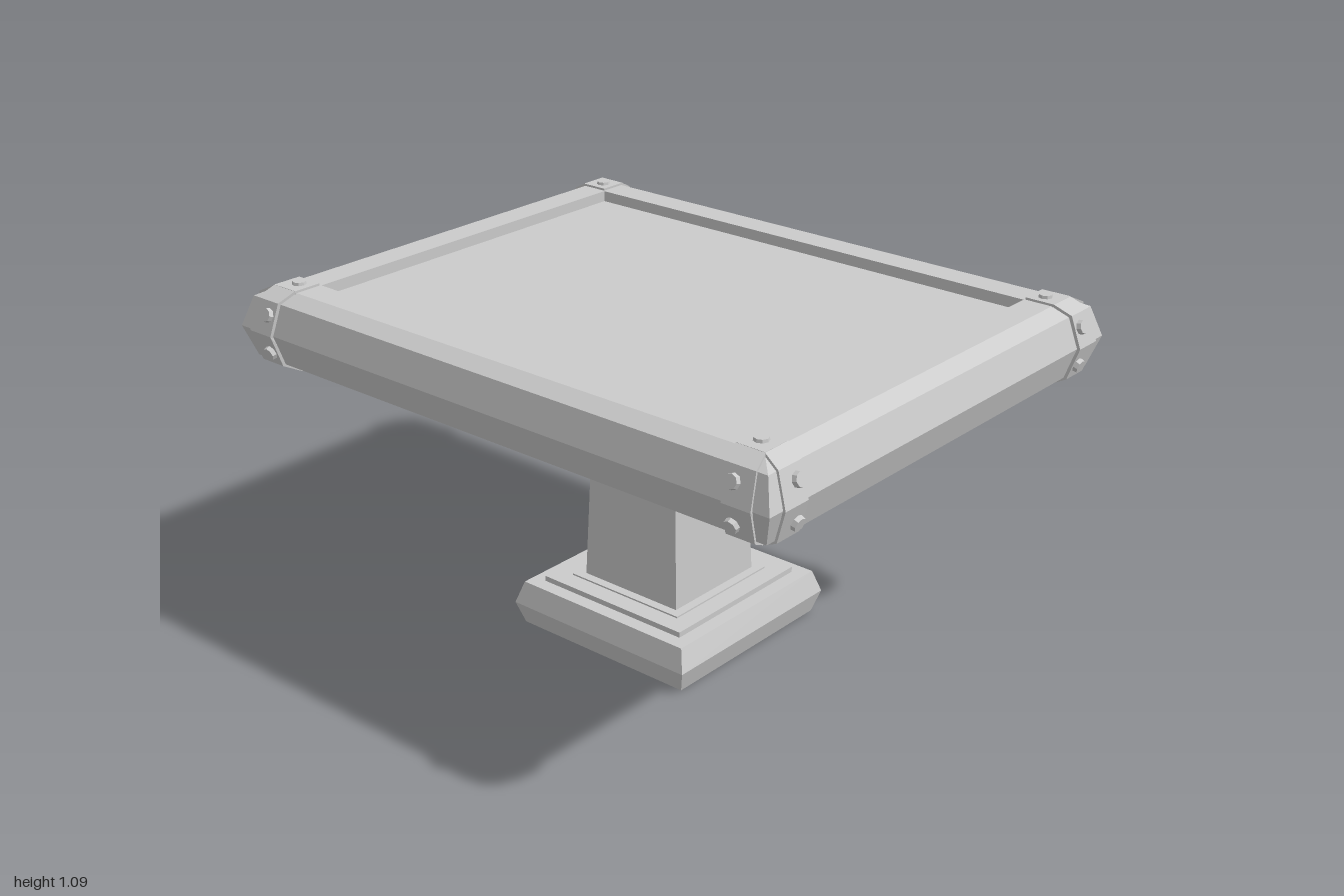
import * as THREE from 'three';

const HX = 0.785, HZ = 0.982; // half size of the table top
const MID = 0.953;            // height of the frame's outer ridge

export function createModel() {
  const root = new THREE.Group();
  const mat = new THREE.MeshStandardMaterial({ color: 0xcccccc, flatShading: true });
  const add = (name, geo, parent = root) => {
    const m = new THREE.Mesh(geo, mat);
    m.name = name;
    parent.add(m);
    return m;
  };

  // Square frustum between two heights
  const frustum = (name, y0, half0, y1, half1) => {
    const g = new THREE.CylinderGeometry(half1 * Math.SQRT2, half0 * Math.SQRT2, y1 - y0, 4);
    g.rotateY(Math.PI / 4).translate(0, (y0 + y1) / 2, 0);
    return add(name, g);
  };

  // Pedestal
  frustum('baseLower', 0, 0.315, 0.07, 0.337);
  frustum('baseUpper', 0.07, 0.337, 0.14, 0.315);
  frustum('baseStep', 0.14, 0.27, 0.157, 0.27);
  frustum('baseTrim', 0.157, 0.21, 0.162, 0.21);
  frustum('column', 0.157, 0.181, 0.88, 0.154);

  // Recessed table panel
  add('panel', new THREE.BoxGeometry(1.25, 0.165, 1.65).translate(0, MID, 0));

  // Mitred frame: rectangular loops at each (inset, height) of the profile
  const profile = [[0, MID], [0.03, 1.045], [0.08, 1.07], [0.17, 1.07],
    [0.17, 0.835], [0.08, 0.835], [0.03, 0.86]];
  const corners = [[1, 1], [1, -1], [-1, -1], [-1, 1]];
  const point = (i, k) => {
    const [o, y] = profile[i % profile.length];
    const [sx, sz] = corners[k % 4];
    return [sx * (HX - o), y, sz * (HZ - o)];
  };
  const pos = [];
  for (let i = 0; i < profile.length; i++) {
    for (let k = 0; k < 4; k++) {
      const a = point(i, k), b = point(i, k + 1), c = point(i + 1, k + 1), d = point(i + 1, k);
      pos.push(...a, ...b, ...c, ...a, ...c, ...d);
    }
  }
  const frame = new THREE.BufferGeometry();
  frame.setAttribute('position', new THREE.Float32BufferAttribute(pos, 3));
  frame.computeVertexNormals();
  add('frame', frame);

  // Strap wrapped around the frame near one end of a side, leaning along the mitre
  const strapOutline = [[-0.009, MID], [0.022, 1.05], [0.076, 1.077], [0.166, 1.077],
    [0.166, 0.828], [0.076, 0.828], [0.022, 0.856]];
  const strapGeometry = (reach, along, s) => {
    const shape = new THREE.Shape(strapOutline.map(([o, y]) => new THREE.Vector2(-o, y)));
    const g = new THREE.ExtrudeGeometry(shape, { depth: 1, bevelEnabled: false });
    const p = g.attributes.position;
    for (let i = 0; i < p.count; i++) {
      const o = -p.getX(i), t = p.getZ(i);
      const lean = Math.max(0, (0.08 - o) / 0.08) * 0.022;
      const inner = along - 0.166 + lean, outer = along - 0.075 + lean;
      const x = s > 0 ? outer + (inner - outer) * t : -(inner + (outer - inner) * t);
      p.setXYZ(i, x, p.getY(i), reach - o);
    }
    g.computeVertexNormals();
    return g;
  };

  // Four sides, each with a strap and two bolts at both ends
  const boltGeometry = new THREE.CylinderGeometry(0.02, 0.025, 0.03, 8);
  const tilt = 0.31;
  for (let q = 0; q < 4; q++) {
    const side = new THREE.Group();
    side.name = 'sideFittings';
    side.rotation.y = q * Math.PI / 2;
    root.add(side);
    const reach = q % 2 ? HX : HZ, along = q % 2 ? HZ : HX;
    for (const s of [1, -1]) {
      add('cornerStrap', strapGeometry(reach, along, s), side);
      for (const v of [1, -1]) {
        const bolt = add('sideBolt', boltGeometry, side);
        bolt.position.set(s * (along - 0.118), MID + v * 0.057, reach - 0.011);
        bolt.rotation.x = Math.PI / 2 - v * tilt;
      }
    }
  }

  // Bolts on top of the corners
  for (const [sx, sz] of corners) {
    add('topBolt', boltGeometry).position.set(sx * (HX - 0.125), 1.071, sz * (HZ - 0.125));
  }
  return root;
}
